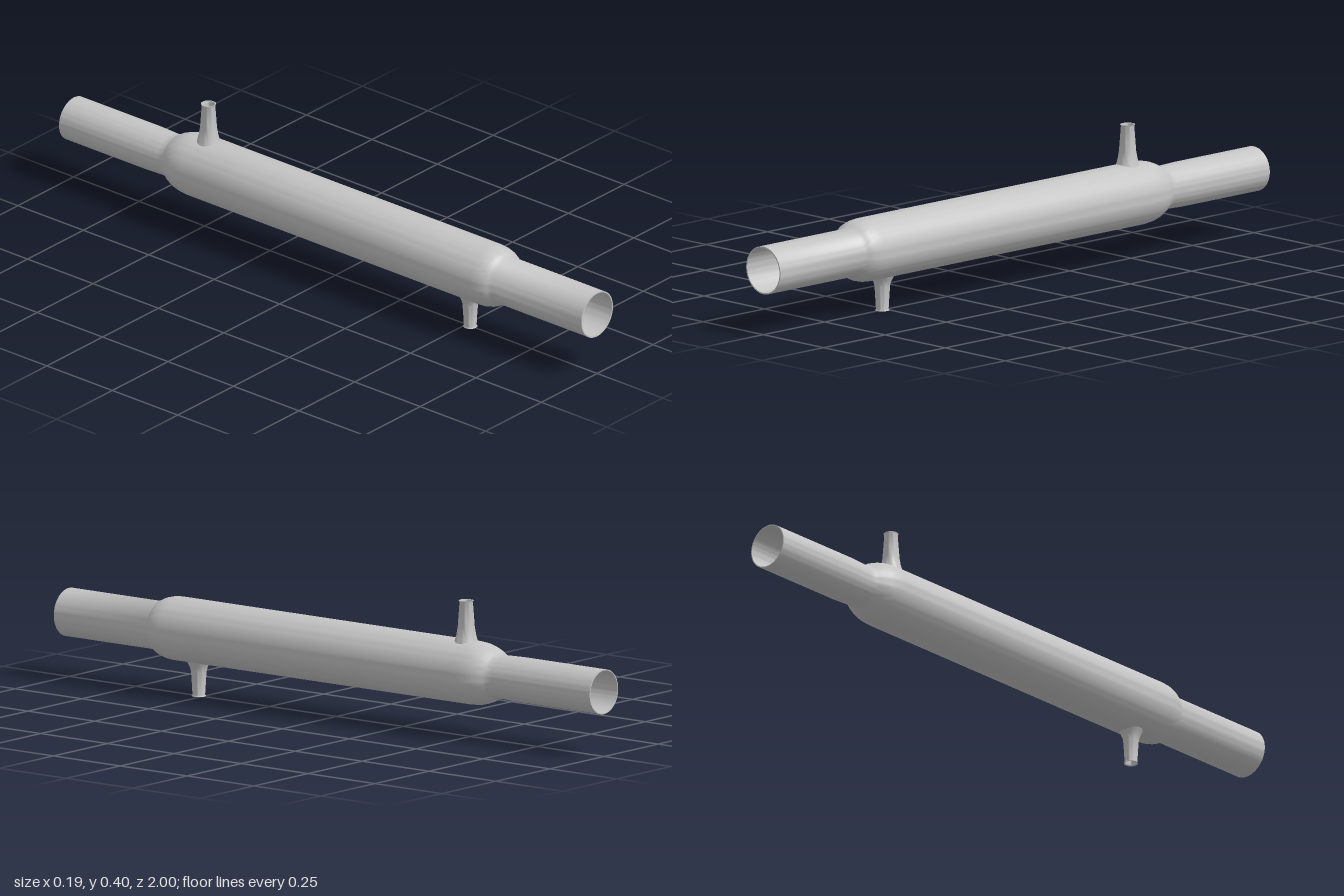
import * as THREE from 'three';
import { toCreasedNormals } from 'three/addons/utils/BufferGeometryUtils.js';

const AXIS_Y = 0.191;

// Revolve [radius, height] pairs, keeping the rims crisp
function lathe(name, profile, segments, material) {
  const points = profile.map(([r, h]) => new THREE.Vector2(r, h));
  const geometry = toCreasedNormals(new THREE.LatheGeometry(points, segments), 0.8);
  const mesh = new THREE.Mesh(geometry, material);
  mesh.name = name;
  return mesh;
}

// Hollow side port: flared foot, tapering neck, thin lipped mouth
function port(name, neck, z, direction, material) {
  const bore = neck.map(([r, h]) => [r - 0.003, h]).reverse();
  const mesh = lathe(name, [...neck, ...bore], 32, material);
  mesh.position.set(0, AXIS_Y, z);
  if (direction < 0) mesh.rotation.x = Math.PI;
  return mesh;
}

export function createModel() {
  const group = new THREE.Group();
  group.name = 'jacketedTube';
  const glass = new THREE.MeshStandardMaterial({ color: 0xc4c4c4 });
  glass.name = 'pale grey';
  glass.side = THREE.DoubleSide;

  // Outer jacket with both end sleeves, from back to front
  const jacket = lathe('outerJacket', [
    [0.066, -1], [0.066, -0.69], [0.064, -0.63], [0.065, -0.612],
    [0.07, -0.603], [0.078, -0.59], [0.086, -0.57], [0.091, -0.55], [0.0935, -0.52],
    [0.0935, 0.59], [0.092, 0.61], [0.087, 0.63], [0.08, 0.645], [0.071, 0.655],
    [0.071, 1],
  ], 64, glass);

  // Inner walls: front sleeve, funnel, narrow bore, rear funnel, rear sleeve
  const bore = lathe('innerBore', [
    [0.071, 1], [0.067, 1], [0.067, 0.66], [0.062, 0.635], [0.045, 0.61],
    [0.028, 0.595], [0.021, 0.57],
    [0.021, -0.53], [0.028, -0.555], [0.045, -0.575], [0.058, -0.6],
    [0.061, -0.63], [0.063, -0.69], [0.063, -1], [0.066, -1],
  ], 64, glass);

  for (const part of [jacket, bore]) {
    part.rotation.x = Math.PI / 2;
    part.position.y = AXIS_Y;
    group.add(part);
  }

  // Side ports: a long one on top at the back, a short one below at the front
  group.add(port('upperPort', [
    [0.036, 0.084], [0.033, 0.094], [0.029, 0.108], [0.025, 0.132],
    [0.023, 0.16], [0.02, 0.2], [0.0195, 0.206], [0.022, 0.21],
  ], -0.485, 1, glass));
  group.add(port('lowerPort', [
    [0.036, 0.086], [0.031, 0.096], [0.026, 0.106], [0.023, 0.118],
    [0.021, 0.145], [0.019, 0.18], [0.0185, 0.187], [0.021, 0.191],
  ], 0.515, -1, glass));

  return group;
}
